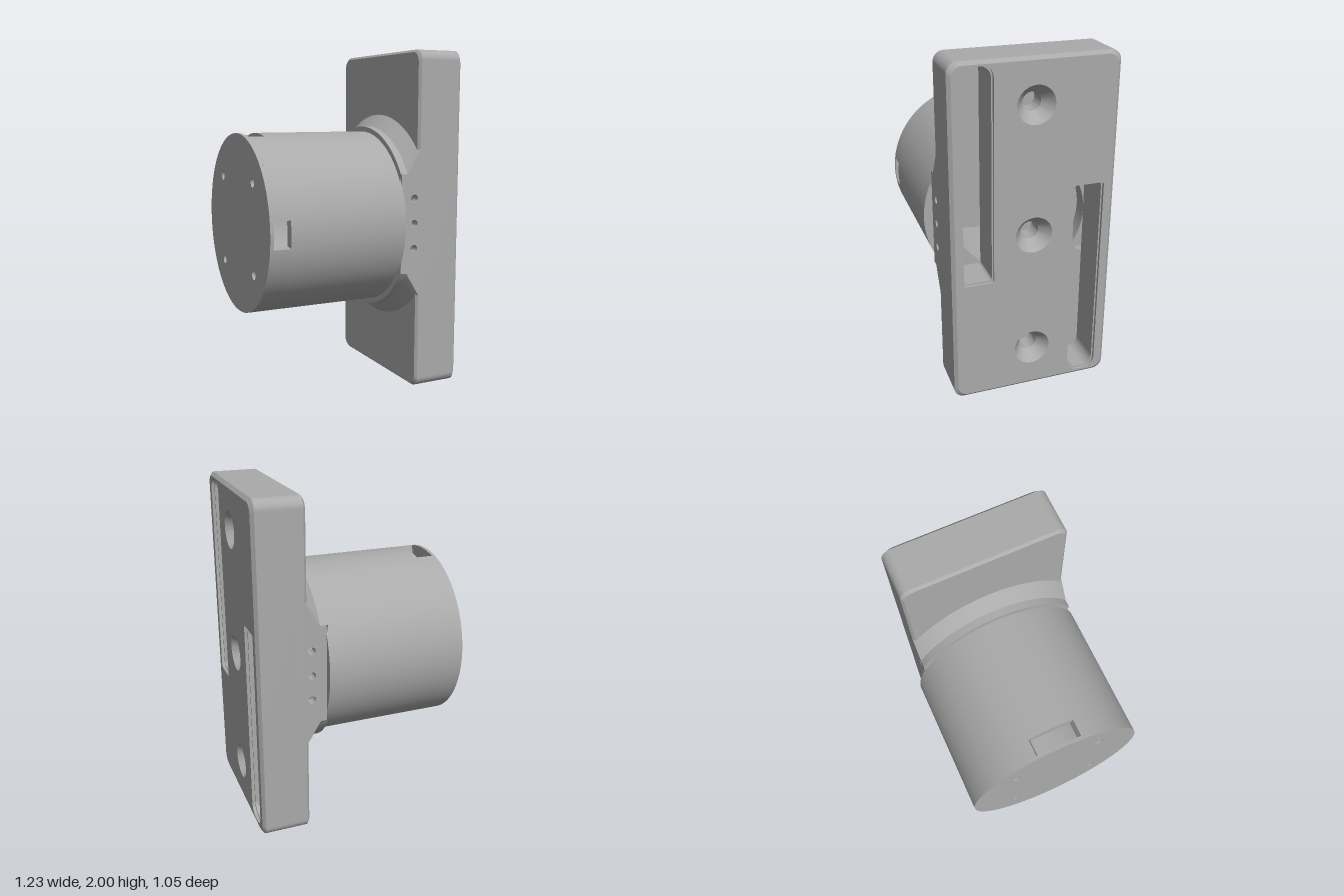
import * as THREE from 'three';
import { toCreasedNormals } from 'three/addons/utils/BufferGeometryUtils.js';
import { ParametricGeometry } from 'three/addons/geometries/ParametricGeometry.js';

const HALF_W = 0.472; // half width of the plate in z
const PI = Math.PI;

export function createModel() {
  const model = new THREE.Group();
  model.position.y = 1;
  const grey = new THREE.MeshStandardMaterial({ color: 0xaaaaaa, side: THREE.DoubleSide });
  grey.name = 'grey';

  const add = (name, geometry) => {
    const mesh = new THREE.Mesh(toCreasedNormals(geometry, 0.45), grey);
    mesh.name = name;
    model.add(mesh);
    return mesh;
  };

  // Shapes are drawn in (-z, y) and extruded along x
  const slab = (shape, x0, x1) =>
    new THREE.ExtrudeGeometry(shape, { depth: x1 - x0, bevelEnabled: false, curveSegments: 48 })
      .rotateY(PI / 2).translate(x0, 0, 0);

  const circle = (r, x = 0, y = 0) => new THREE.Shape().absarc(x, y, r, 0, PI * 2);
  const annulus = (outer, inner) => {
    const s = circle(outer);
    s.holes.push(circle(inner));
    return s;
  };
  // Rectangle with separate bottom and top corner radii
  const roundRect = (x0, y0, x1, y1, rb, rt) => new THREE.Shape()
    .absarc(x1 - rb, y0 + rb, rb, -PI / 2, 0)
    .absarc(x1 - rt, y1 - rt, rt, 0, PI / 2)
    .absarc(x0 + rt, y1 - rt, rt, PI / 2, PI)
    .absarc(x0 + rb, y0 + rb, rb, PI, PI * 1.5);
  const outline = () => roundRect(-HALF_W, -1, HALF_W, 1, 0.06, 0.06);

  // Draw in the outer edge of a slab at one x to form a chamfer
  const chamfer = (geometry, x, size) => {
    const p = geometry.attributes.position;
    for (let i = 0; i < p.count; i++) {
      const y = p.getY(i), z = p.getZ(i);
      if (Math.abs(p.getX(i) - x) > 1e-4 || (Math.abs(z) < 0.4115 && Math.abs(y) < 0.98)) continue;
      p.setY(i, y * (1 - size));
      p.setZ(i, z * (1 - size / HALF_W));
    }
    return geometry;
  };

  // Plate face with two long slots and three screw holes
  const screwY = [-0.74, 0, 0.745];
  const faceShape = (grow) => {
    const s = outline();
    s.holes.push(roundRect(-0.4 - grow, -0.25 - grow, -0.24 + grow, 0.967 + grow, 0.015, 0.065));
    s.holes.push(roundRect(0.24 - grow, -0.96 - grow, 0.4 + grow, 0.255 + grow, 0.065, 0.015));
    screwY.forEach((y) => s.holes.push(circle(0.107, 0, y)));
    return s;
  };
  add('plateFaceEdge', chamfer(slab(faceShape(0.008), 0.594, 0.612), 0.612, 0.02));
  add('plateBody', slab(faceShape(0), 0.38, 0.594));

  // Plate back with the round opening and blind fixing holes
  const back = outline();
  back.holes.push(circle(0.4));
  for (const sx of [-1, 1]) for (const sy of [-1, 1]) back.holes.push(circle(0.04, sx * 0.39, sy * 0.23));
  add('plateBack', slab(back, 0.336, 0.38));
  const backEdge = outline();
  backEdge.holes.push(circle(0.4));
  add('plateBackEdge', chamfer(slab(backEdge, 0.322, 0.336), 0.322, 0.014));

  // Countersunk screw seats
  const seat = [[0.107, 0.612], [0.052, 0.54], [0.052, 0.44], [0, 0.44]].map((q) => new THREE.Vector2(...q));
  screwY.forEach((y) =>
    add('screwSeat', new THREE.LatheGeometry(seat, 40).rotateZ(-PI / 2).translate(0, y, 0)));

  // Flared collar, cut off flat at the plate sides
  const stations = [[0.205, 0.4], [0.205, 0.555], [0.25, 0.555], [0.337, 0.642]];
  for (const s of [-1, 1]) {
    add(s > 0 ? 'upperCollar' : 'lowerCollar', new ParametricGeometry((u, v, target) => {
      const [x, r] = stations[Math.round(v * 3)];
      const a = Math.acos(Math.min(1, HALF_W / r));
      const t = a + u * (PI - 2 * a);
      target.set(x, s * r * Math.sin(t), r * Math.cos(t));
    }, 64, 3));
  }

  // Flat collar sides with three small holes each
  const side = new THREE.Shape([
    [0.212, -0.29], [0.25, -0.292], [0.337, -0.435], [0.337, 0.435], [0.25, 0.292], [0.212, 0.29],
  ].map((q) => new THREE.Vector2(...q)));
  [-0.148, 0, 0.148].forEach((y) => side.holes.push(circle(0.023, 0.299, y)));
  for (const z of [-HALF_W, HALF_W - 0.06]) {
    add('collarSide', new THREE.ExtrudeGeometry(side, { depth: 0.06, bevelEnabled: false, curveSegments: 24 })
      .translate(0, 0, z));
  }
  add('collarBore', slab(annulus(0.412, 0.4), 0.207, 0.33));
  add('innerLedge', slab(annulus(0.41, 0.365), 0.25, 0.29));

  // Hollow drum with notches at the top, bottom and front
  const R = 0.525, INNER = 0.47;
  add('drumWall', slab(annulus(R, INNER), -0.497, 0.212));
  const wide = 0.256, narrow = 0.147;
  const bands = [
    [PI / 2 + wide, PI - narrow],
    [PI + narrow, PI * 1.5 - wide],
    [PI * 1.5 + wide, PI * 2.5 - wide],
  ];
  for (const [a, b] of bands) {
    const band = new THREE.Shape().absarc(0, 0, R, a, b, false).absarc(0, 0, INNER, b, a, true);
    add('drumNotchedBand', slab(band, -0.597, -0.497));
  }
  const cap = circle(R);
  for (const sx of [-1, 1]) for (const sy of [-1, 1]) cap.holes.push(circle(0.027, sx * 0.26, sy * 0.26));
  add('drumEnd', slab(cap, -0.617, -0.597));

  return model;
}
